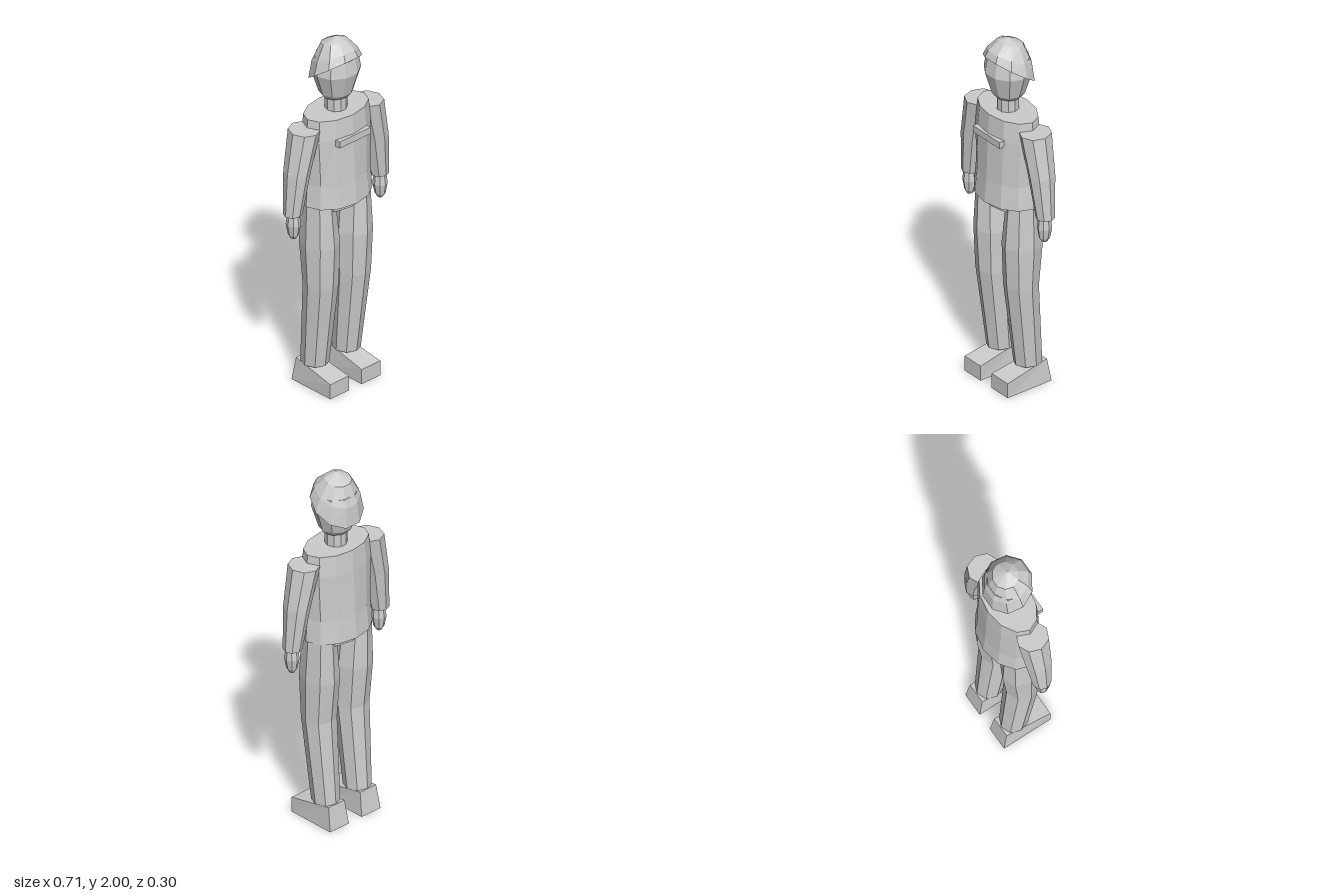
import * as THREE from 'three';

// Faceted solid through elliptical rings [y, cx, cz, rx, rz, tilt], listed from bottom to top
function loft(rings, sides) {
  const pos = [], idx = [];
  const centre = r => [r[1], r[0] + (r[5] || 0) * r[2], r[2]];
  for (const [y, cx, cz, rx, rz, tilt = 0] of rings) {
    for (let i = 0; i < sides; i++) {
      const a = (i / sides) * Math.PI * 2;
      const z = cz + rz * Math.sin(a);
      pos.push(cx + rx * Math.cos(a), y + tilt * z, z);
    }
  }
  const last = rings.length - 1;
  const low = pos.length / 3, high = low + 1;
  pos.push(...centre(rings[0]), ...centre(rings[last]));
  for (let i = 0; i < sides; i++) {
    const j = (i + 1) % sides;
    for (let k = 0; k < last; k++) {
      const a = k * sides + i, b = k * sides + j, c = a + sides, d = b + sides;
      idx.push(a, c, b, b, c, d);
    }
    idx.push(low, i, j, high, last * sides + j, last * sides + i);
  }
  const indexed = new THREE.BufferGeometry();
  indexed.setAttribute('position', new THREE.Float32BufferAttribute(pos, 3));
  indexed.setIndex(idx);
  const geo = indexed.toNonIndexed();
  geo.computeVertexNormals();
  return geo;
}

// Wedge shoe: low toe, higher and narrower heel
function shoeGeometry(cx) {
  const box = new THREE.BoxGeometry(0.13, 1, 0.28);
  const p = box.attributes.position;
  for (let i = 0; i < p.count; i++) {
    const top = p.getY(i) > 0, back = p.getZ(i) < 0;
    const x = p.getX(i) * (top && back ? 0.85 : 1);
    const y = top ? (back ? 0.132 : 0.085) : 0;
    const z = back ? (top ? -0.12 : -0.142) : 0.141;
    p.setXYZ(i, cx + x, y, z);
  }
  const geo = box.toNonIndexed();
  geo.computeVertexNormals();
  return geo;
}

export function createModel() {
  const model = new THREE.Group();
  const grey = new THREE.MeshStandardMaterial({ color: 0xcccccc, flatShading: true });
  grey.name = 'light grey';

  const add = (name, geo) => {
    const mesh = new THREE.Mesh(geo, grey);
    mesh.name = name;
    model.add(mesh);
    return mesh;
  };

  // Head, hair and neck
  add('head', loft([
    [1.66, 0, 0, 0.072, 0.066],
    [1.685, 0, 0, 0.092, 0.086],
    [1.81, 0, 0, 0.132, 0.122],
    [1.89, 0, 0, 0.118, 0.108],
  ], 10));
  add('hair', loft([
    [1.82, 0, -0.005, 0.146, 0.126, 0.7],
    [1.895, 0, -0.01, 0.121, 0.113, 0.42],
    [1.968, 0, -0.016, 0.073, 0.067, 0.22],
    [2.0, 0, 0, 0, 0],
  ], 10));
  add('neck', loft([[1.56, 0, 0, 0.058, 0.058], [1.68, 0, 0, 0.058, 0.058]], 10));

  // Jacket, hips and chest strip
  add('torso', loft([
    [1.08, 0, 0, 0.21, 0.152],
    [1.21, 0, 0, 0.2, 0.14],
    [1.47, 0, 0, 0.209, 0.13],
    [1.585, 0, 0, 0.198, 0.121],
  ], 12));
  add('hips', loft([[1.045, 0, 0, 0.17, 0.115], [1.12, 0, 0, 0.18, 0.12]], 12));
  add('chestStrip', new THREE.BoxGeometry(0.216, 0.037, 0.04)).position.set(0, 1.459, 0.121);

  // Limbs, mirrored left and right
  for (const [side, s] of [['left', 1], ['right', -1]]) {
    add(side + 'Arm', loft([
      [1.077, s * 0.303, 0, 0.05, 0.05],
      [1.315, s * 0.272, 0, 0.068, 0.072],
      [1.54, s * 0.222, 0, 0.08, 0.087],
    ], 8));
    add(side + 'Hand', loft([
      [0.94, s * 0.303, 0.005, 0.014, 0.016],
      [0.962, s * 0.303, 0.005, 0.027, 0.03],
      [1.02, s * 0.303, 0.005, 0.038, 0.04],
      [1.09, s * 0.303, 0.005, 0.03, 0.03],
    ], 8));
    add(side + 'Leg', loft([
      [0.125, s * 0.11, -0.04, 0.071, 0.076],
      [0.6, s * 0.113, 0.006, 0.092, 0.091],
      [0.84, s * 0.115, 0, 0.098, 0.11],
      [1.09, s * 0.122, -0.005, 0.078, 0.1],
    ], 8));
    add(side + 'Shoe', shoeGeometry(s * 0.11));
  }
  return model;
}
